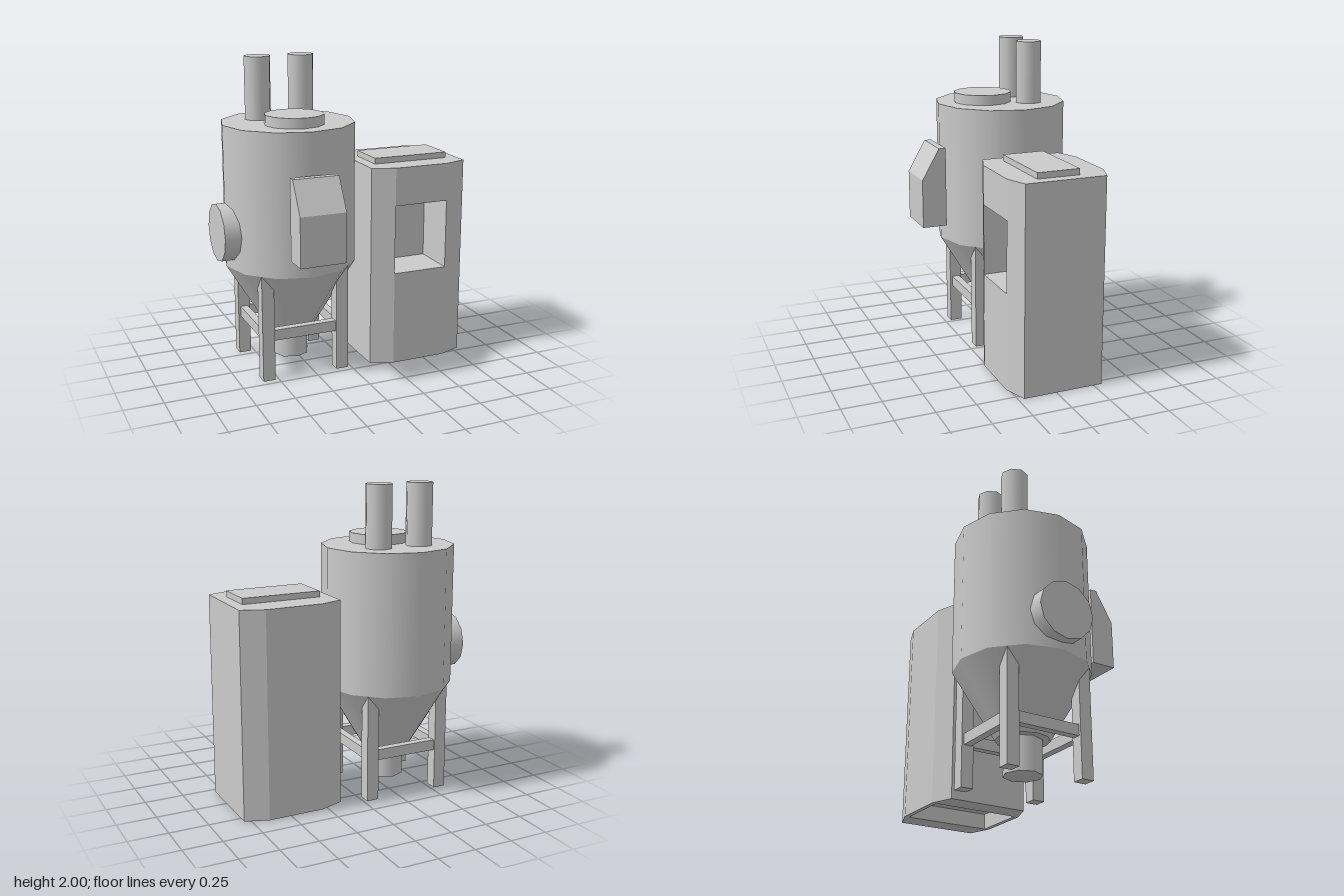
import * as THREE from 'three';

const material = new THREE.MeshStandardMaterial({ color: 0xcccccc });

export function createModel() {
  const model = new THREE.Group();

  const add = (name, geometry, x = 0, y = 0, z = 0, parent = model) => {
    const mesh = new THREE.Mesh(geometry, material);
    mesh.name = name;
    mesh.position.set(x, y, z);
    parent.add(mesh);
    return mesh;
  };
  // Upright cylinder between two heights
  const post = (name, rTop, rBottom, y0, y1, x, z, sides, parent) =>
    add(name, new THREE.CylinderGeometry(rTop, rBottom, y1 - y0, sides), x, (y0 + y1) / 2, z, parent);
  // Box given by its limits
  const box = (name, x0, x1, y0, y1, z0, z1, parent) =>
    add(name, new THREE.BoxGeometry(x1 - x0, y1 - y0, z1 - z0), (x0 + x1) / 2, (y0 + y1) / 2, (z0 + z1) / 2, parent);

  // Tank with conical hopper
  const tank = new THREE.Group();
  tank.name = 'tank';
  tank.position.set(-0.313, 0, -0.083);
  model.add(tank);
  post('tankBody', 0.425, 0.425, 0.7, 1.603, 0, 0, 12, tank);
  post('hopperCone', 0.425, 0.165, 0.27, 0.7, 0, 0, 12, tank);
  post('outletPipe', 0.119, 0.119, 0.055, 0.3, 0, 0, 8, tank);
  post('topHatch', 0.188, 0.188, 1.6, 1.667, 0, 0.121, 12, tank);
  for (const side of [-1, 1]) post('chimney', 0.086, 0.086, 1.6, 2, side * 0.145, -0.144, 8, tank);

  // Round cover on the right side
  const cover = post('sideCover', 0.186, 0.186, 0, 0.2, -0.381, 0, 12, tank);
  cover.position.y = 0.927;
  cover.rotation.z = Math.PI / 2;

  // Legs and the bars joining them
  const reach = 0.25, half = 0.04;
  for (const sx of [-1, 1]) {
    for (const sz of [-1, 1]) {
      const x = sx * reach, z = sz * reach;
      box('leg', x - half, x + half, 0, 0.7, z - half, z + half, tank);
    }
    const c = sx * reach;
    box('crossBar', -reach, reach, 0.26, 0.33, c - 0.025, c + 0.025, tank);
    box('sideBar', c - 0.025, c + 0.025, 0.26, 0.33, -reach, reach, tank);
  }

  // Control box with a sloping top
  const profile = new THREE.Shape([[0.35, 0.825], [0.51, 0.825], [0.51, 1.14], [0.395, 1.34], [0.35, 1.34]]
    .map(([z, y]) => new THREE.Vector2(-z, y)));
  const control = new THREE.ExtrudeGeometry(profile, { depth: 0.296, bevelEnabled: false });
  control.rotateY(Math.PI / 2);
  add('controlBox', control, -0.461, 0, 0);

  // Cabinet, built around its own centre line
  const cabinet = new THREE.Group();
  cabinet.name = 'cabinet';
  cabinet.position.x = 0.463;
  model.add(cabinet);
  const inner = 0.183, outer = 0.329, front = 0.265, back = -0.357, top = 1.317;

  // Chamfered side panels
  for (const side of [-1, 1]) {
    const plan = [[inner, front], [outer, 0.213], [outer, -0.303], [inner, back]];
    const shape = new THREE.Shape(plan.map(([x, z]) => new THREE.Vector2(side * x, -z)));
    const panel = new THREE.ExtrudeGeometry(shape, { depth: top, bevelEnabled: false });
    panel.rotateX(-Math.PI / 2);
    add('sidePanel', panel, 0, 0, 0, cabinet);
  }

  // Middle section: skirts under a raised floor, open bay and head
  box('frontSkirt', -inner, inner, 0, 0.1, front - 0.03, front, cabinet);
  box('backSkirt', -inner, inner, 0, 0.1, back, back + 0.03, cabinet);
  box('lowerBlock', -inner, inner, 0.1, 0.62, back, front, cabinet);
  box('bayBack', -inner, inner, 0.62, 1.07, back, -0.035, cabinet);
  box('cabinetHead', -inner, inner, 1.07, top, back, front, cabinet);
  box('cabinetLid', -0.256, 0.254, top, 1.355, -0.165, 0.107, cabinet);

  return model;
}
